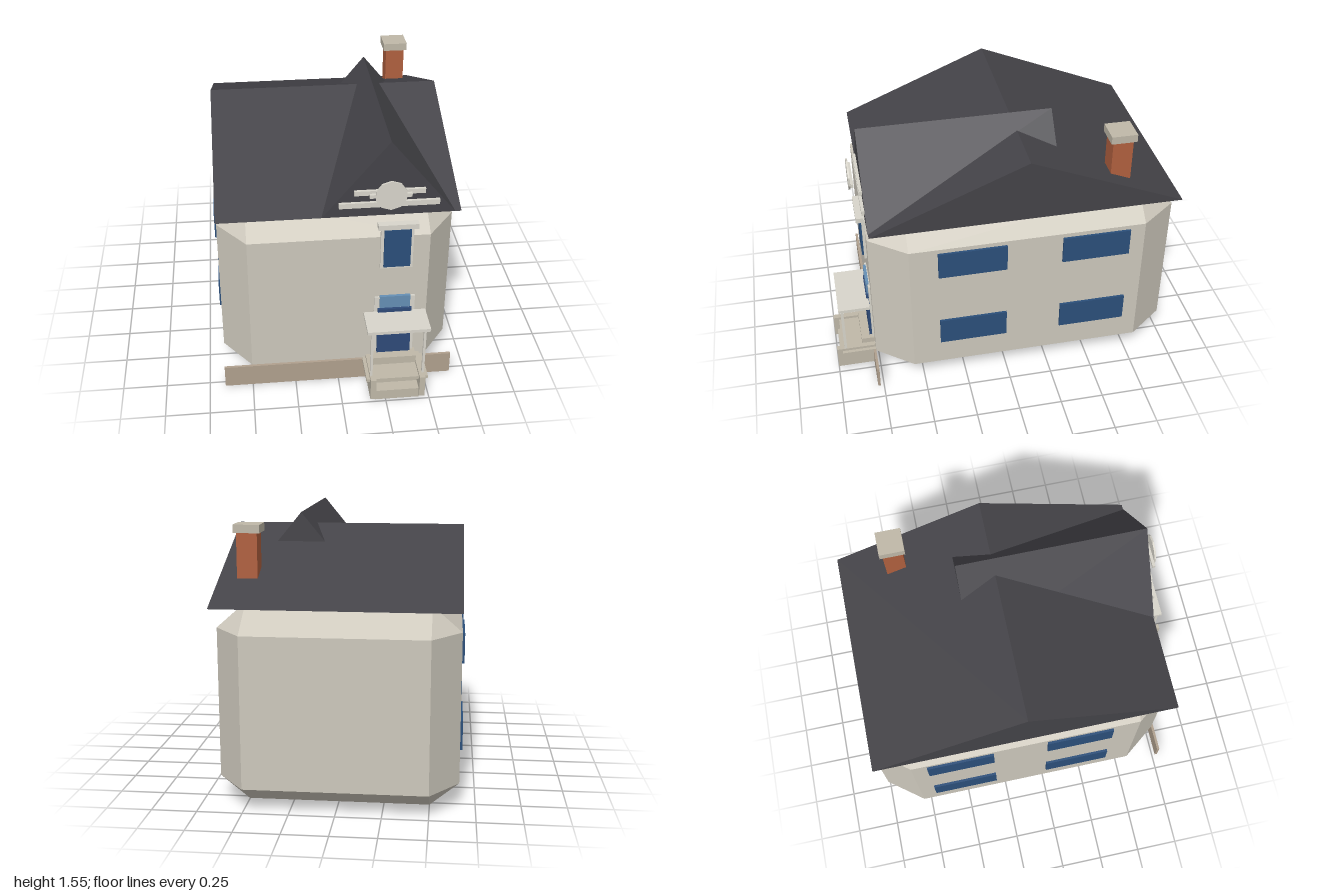
import * as THREE from 'three';
import { ConvexGeometry } from 'three/addons/geometries/ConvexGeometry.js';

const mat = (color) => new THREE.MeshStandardMaterial({ color, flatShading: true });
const WALL = mat(0xcdc8bc), TRIM = mat(0xd8d5cb), STONE = mat(0xbfb8a8), ROOF = mat(0x444348);
const GLASS = mat(0x2b4f7a), DOOR = mat(0x2e4a78), PALE = mat(0x658fb5);
const BRICK = mat(0xb0603f), PLINTH = mat(0xb0a08e);

export function createModel() {
  const house = new THREE.Group();
  house.name = 'house';

  const add = (name, geometry, material, parent = house) => {
    const mesh = new THREE.Mesh(geometry, material);
    mesh.name = name;
    parent.add(mesh);
    return mesh;
  };
  // box given by its extents along each axis
  const box = (name, material, [x0, x1], [y0, y1], [z0, z1], parent) => {
    const mesh = add(name, new THREE.BoxGeometry(x1 - x0, y1 - y0, z1 - z0), material, parent);
    mesh.position.set((x0 + x1) / 2, (y0 + y1) / 2, (z0 + z1) / 2);
    return mesh;
  };
  const group = (name) => {
    const g = new THREE.Group();
    g.name = name;
    house.add(g);
    return g;
  };
  // triangular prism extruded along z
  const prism = (points, depth) => new THREE.ExtrudeGeometry(
    new THREE.Shape(points.map(([x, y]) => new THREE.Vector2(x, y))),
    { depth, bevelEnabled: false });

  // walls: a box with every edge and corner cut off
  const corners = [];
  for (const s of [-1, 1]) {
    for (const [yOut, yIn] of [[0.005, 0.135], [1.113, 0.975]]) {
      for (const [zOut, zIn] of [[0.77, 0.56], [-1, -0.79]]) {
        corners.push(
          new THREE.Vector3(s * 0.66, yIn, zIn),
          new THREE.Vector3(s * 0.5, yOut, zIn),
          new THREE.Vector3(s * 0.5, yIn, zOut));
      }
    }
  }
  add('walls', new ConvexGeometry(corners), WALL);
  box('plinth', PLINTH, [-0.66, 0.66], [0, 0.135], [0.77, 0.785]);

  // main roof, ridge along x
  const roof = add('mainRoof', prism([[-0.765, 1.113], [0.99, 1.113], [0.11, 1.475]], 1.32), ROOF);
  roof.rotation.y = Math.PI / 2;
  roof.position.x = -0.66;

  // front gable, ridge along z
  const gable = add('gableRoof', prism([[-0.095, 1.115], [0.625, 1.115], [0.265, 1.555]], 1.088), ROOF);
  gable.position.z = -0.32;

  // gable ornament
  const ornament = group('gableOrnament');
  box('lowerBar', TRIM, [-0.005, 0.535], [1.175, 1.205], [0.765, 0.785], ornament);
  box('upperBar', TRIM, [0.075, 0.455], [1.25, 1.277], [0.765, 0.785], ornament);
  box('discBar', TRIM, [0.152, 0.377], [1.253, 1.274], [0.806, 0.822], ornament);
  const disc = add('disc', new THREE.CylinderGeometry(0.086, 0.086, 0.01, 10), TRIM, ornament);
  disc.rotation.x = -Math.PI / 2;
  disc.position.set(0.265, 1.27, 0.827);

  // chimney
  box('chimneyStack', BRICK, [0.447, 0.56], [1.06, 1.48], [-0.705, -0.59]);
  box('chimneyCap', STONE, [0.43, 0.575], [1.477, 1.522], [-0.72, -0.575]);

  // side windows
  for (const s of [-1, 1]) {
    for (const y of [0.378, 0.867]) {
      for (const z of [0.205, -0.505]) {
        const pane = add('sideWindow', new THREE.BoxGeometry(0.03, 0.165, 0.39), GLASS);
        pane.position.set(s * 0.659, y, z);
      }
    }
  }

  // upper front window
  const win = group('frontWindow');
  box('windowFrame', TRIM, [0.225, 0.405], [0.775, 1.05], [0.765, 0.785], win);
  box('windowGlass', GLASS, [0.242, 0.39], [0.79, 1.03], [0.775, 0.795], win);
  box('windowHead', TRIM, [0.205, 0.425], [1.045, 1.075], [0.775, 0.815], win);

  // front door with transom
  const door = group('frontDoor');
  box('doorFrame', TRIM, [0.2, 0.43], [0.12, 0.575], [0.765, 0.782], door);
  box('doorLeaf', DOOR, [0.22, 0.412], [0.16, 0.5], [0.775, 0.797], door);
  box('transom', PALE, [0.23, 0.402], [0.508, 0.585], [0.775, 0.792], door);

  // porch canopy, posts, floor and steps
  const porch = group('porch');
  box('canopy', TRIM, [0.14, 0.492], [0.46, 0.479], [0.785, 0.968], porch);
  box('porchFloor', STONE, [0.14, 0.492], [0.12, 0.14], [0.77, 0.968], porch);
  for (const s of [-1, 1]) {
    const x = 0.316 + s * 0.148;
    box('post', TRIM, [x - 0.007, x + 0.007], [0.14, 0.46], [0.94, 0.956], porch);
    const c = 0.316 + s * 0.14;
    box('stepCheek', STONE, [c - 0.016, c + 0.016], [0.02, 0.156], [0.77, 1], porch);
  }
  for (let i = 0; i < 3; i++) {
    const front = 0.983 - i * 0.068;
    box('step', STONE, [0.19, 0.442], [i * 0.063, (i + 1) * 0.063],
      [front - 0.08, front], porch);
  }
  return house;
}
